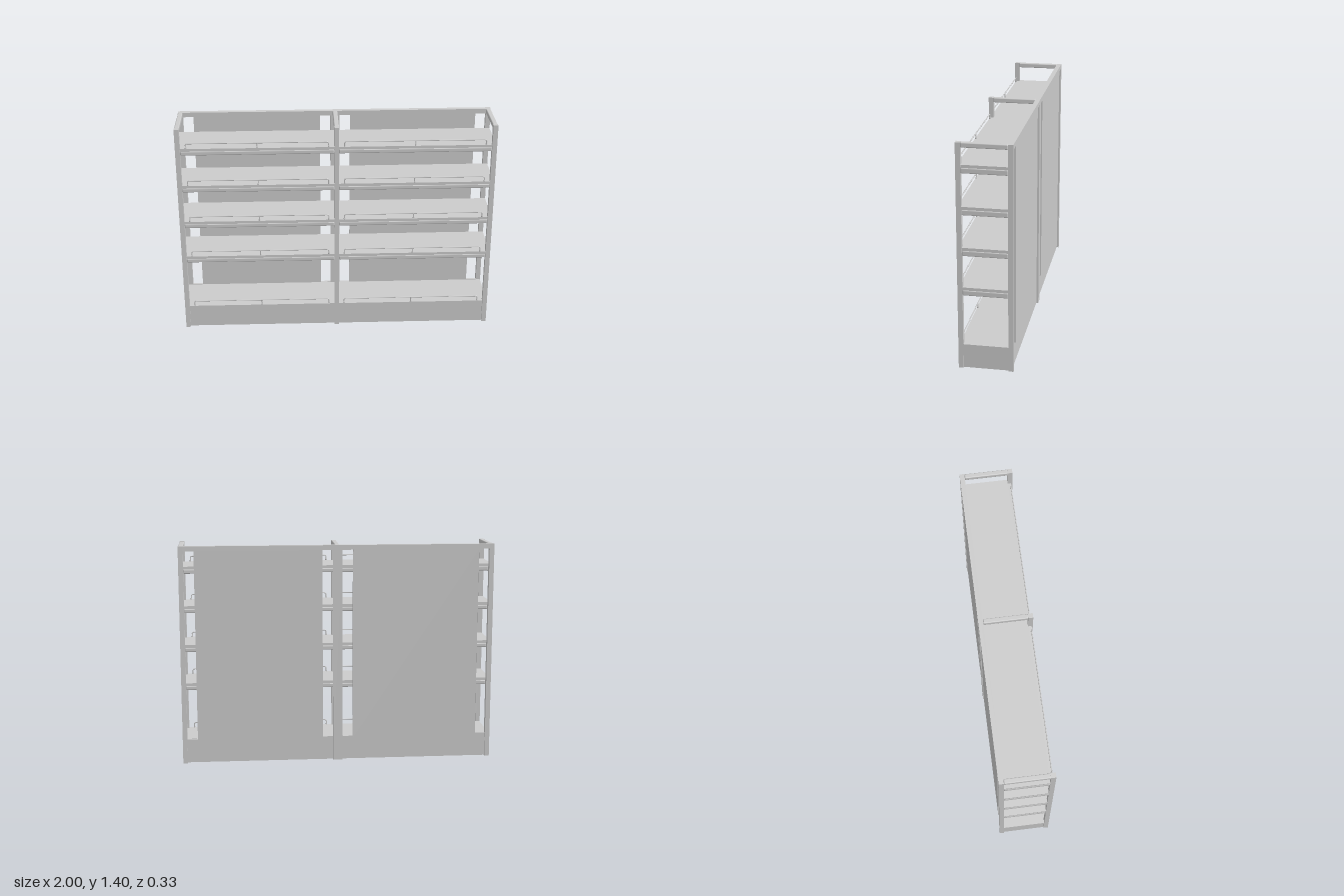
import * as THREE from 'three';
import { RoundedBoxGeometry } from 'three/addons/geometries/RoundedBoxGeometry.js';

const mat = new THREE.MeshStandardMaterial({ color: 0xcccccc });
const H = 1.4, D = 0.165, T = 0.03; // height, half depth, tube size
const IN = D - T; // inner face of the posts

function add(parent, name, geometry, x = 0, y = 0, z = 0) {
  const mesh = new THREE.Mesh(geometry, mat);
  mesh.name = name;
  mesh.position.set(x, y, z);
  parent.add(mesh);
  return mesh;
}

// Box given by its lowest and highest corners; r > 0 rounds the edges
function box(parent, name, [x0, y0, z0], [x1, y1, z1], r = 0) {
  const size = [x1 - x0, y1 - y0, z1 - z0];
  const geo = r ? new RoundedBoxGeometry(...size, 2, r) : new THREE.BoxGeometry(...size);
  return add(parent, name, geo, (x0 + x1) / 2, (y0 + y1) / 2, (z0 + z1) / 2);
}

// Thin wire rail with bent ends, a middle stud and small feet
function guardRail(x0, x1) {
  const g = new THREE.Group();
  g.name = 'guardRail';
  const r = 0.0035, bend = 0.012, top = 0.033;
  const rod = (len) => new THREE.CylinderGeometry(r, r, len, 10);
  const mid = (x0 + x1) / 2;
  add(g, 'railBar', rod(x1 - x0 - 2 * bend), mid, top).rotation.z = Math.PI / 2;
  for (const [x, s] of [[x0, 1], [x1, -1]]) {
    add(g, 'railLeg', rod(top - bend), x, (top - bend) / 2);
    const elbow = new THREE.TorusGeometry(bend, r, 8, 6, Math.PI / 2);
    add(g, 'railBend', elbow, x + s * bend, top - bend).rotation.z = s > 0 ? Math.PI / 2 : 0;
  }
  add(g, 'railStud', rod(top), mid, top / 2);
  for (const x of [x0, mid, x1]) {
    add(g, 'railFoot', new THREE.CylinderGeometry(0.0055, 0.0055, 0.008, 10), x, 0.004);
  }
  return g;
}

export function createModel() {
  const model = new THREE.Group();
  model.name = 'shelvingUnit';

  // Frame: end posts, middle posts (the rear one is double width)
  for (const x of [-1, 1 - T]) {
    box(model, 'frontPost', [x, 0, IN], [x + T, H, D]);
    box(model, 'rearPost', [x, 0, -D], [x + T, H, -IN]);
  }
  box(model, 'middleFrontPost', [-0.015, 0, IN], [0.015, H, D]);
  box(model, 'middleRearPost', [-0.03, 0, -D], [0.03, H - T, -IN]);

  // Top rails: one along the back, three from front to back
  box(model, 'topRearRail', [-1 + T, H - T, -D], [1 - T, H, -IN]);
  for (const x of [-1, -0.015, 1 - T]) {
    box(model, 'topCrossRail', [x, H - T, -IN], [x + T, H, IN], 0.006);
  }

  // Shelves with supporting rails; the lowest one rests on the plinth
  for (const top of [0.155, 0.522, 0.77, 1.02, 1.27]) {
    const shelf = new THREE.Group();
    shelf.name = 'shelf';
    model.add(shelf);
    const under = top - 0.018, low = under - 0.033;
    box(shelf, 'shelfBoard', [-0.998, under, -IN], [0.998, top, IN]);

    for (const [a, b] of [[-1 + T, -0.015], [0.015, 1 - T]]) {
      box(shelf, 'shelfFrontEdge', [a, under, IN], [b, top, 0.157]);
      if (top > 0.2) {
        box(shelf, 'frontSupport', [a, low + 0.006, 0.128], [b, under, 0.157], 0.006);
        box(shelf, 'rearSupport', [a, low + 0.006, -IN], [b, under, -IN + 0.028], 0.006);
      }
    }
    if (top > 0.2) {
      for (const x of [-1, -0.015, 1 - T]) {
        box(shelf, 'sideSupport', [x, low, -IN], [x + T, under, IN], 0.006);
      }
    }
    for (const [a, b] of [[-0.935, -0.05], [0.05, 0.935]]) {
      const rail = guardRail(a, b);
      rail.position.set(0, top, 0.151);
      shelf.add(rail);
    }
  }

  // Plinth, open underneath
  const plinthTop = 0.137;
  for (const [a, b] of [[-1 + T, -0.015], [0.015, 1 - T]]) {
    box(model, 'plinthFront', [a, 0.003, 0.138], [b, plinthTop, 0.153]);
    box(model, 'plinthBack', [a, 0.003, -0.153], [b, 0.155, -0.138]);
  }
  for (const x of [-0.994, 0.979]) {
    box(model, 'plinthSide', [x, 0.003, -IN], [x + 0.015, plinthTop, IN]);
  }

  // Back panels, standing clear of the posts
  for (const s of [-1, 1]) {
    box(model, 'backPanel', [s * 0.5 - 0.403, 0.145, -0.163], [s * 0.5 + 0.403, H - T, -0.138]);
  }
  return model;
}
